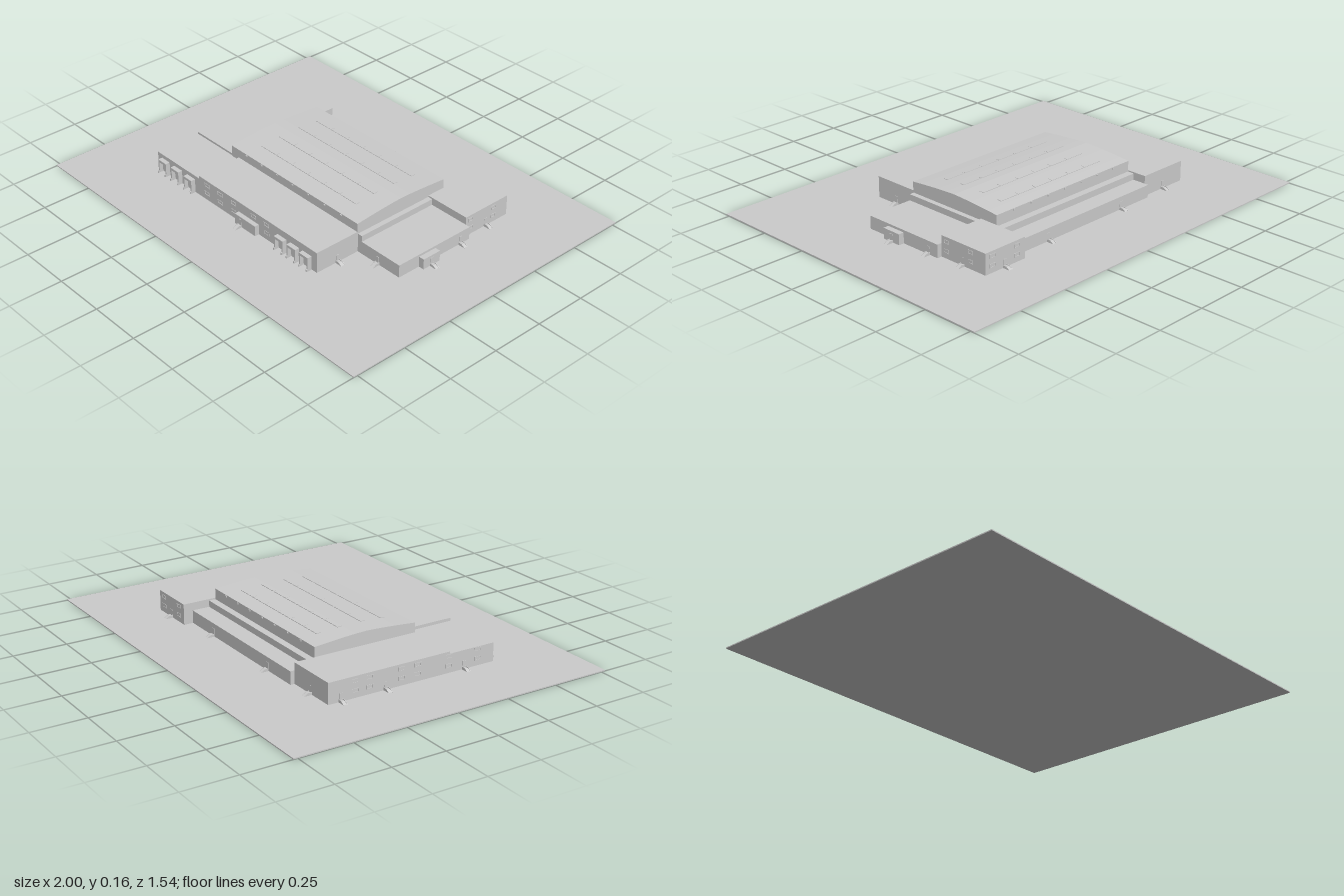
import * as THREE from 'three';

const GROUND = 0.005;

export function createModel() {
  const model = new THREE.Group();
  const mat = new THREE.MeshStandardMaterial({ color: 0xcccccc, flatShading: true });

  const add = (name, geometry, parent = model) => {
    const mesh = new THREE.Mesh(geometry, mat);
    mesh.name = name;
    parent.add(mesh);
    return mesh;
  };

  // Box given by its limits on each axis
  const block = (name, x0, x1, y0, y1, z0, z1, parent) => {
    const mesh = add(name, new THREE.BoxGeometry(x1 - x0, y1 - y0, z1 - z0), parent);
    mesh.position.set((x0 + x1) / 2, (y0 + y1) / 2, (z0 + z1) / 2);
    return mesh;
  };

  // Side profile (z, y) swept along x
  const sweepX = (name, points, x0, x1, parent) => {
    const shape = new THREE.Shape(points.map(([z, y]) => new THREE.Vector2(-z, y)));
    const geo = new THREE.ExtrudeGeometry(shape, { depth: x1 - x0, bevelEnabled: false });
    geo.rotateY(Math.PI / 2);
    geo.translate(x0, 0, 0);
    return add(name, geo, parent);
  };

  // Group standing on a wall, its local +z pointing outward
  const turns = { south: 0, east: Math.PI / 2, north: Math.PI, west: -Math.PI / 2 };
  const onWall = (name, side, x, z) => {
    const g = new THREE.Group();
    g.name = name;
    g.position.set(x, 0, z);
    g.rotation.y = turns[side];
    model.add(g);
    return g;
  };

  block('ground', -1, 1, 0, GROUND, -0.77, 0.77);

  // Flat-roofed wings around the hall
  const wings = [
    ['frontWing', -0.37, 0.413, 0.105, 0.205, 0.435],
    ['frontCornerWing', -0.67, -0.37, 0.091, 0.205, 0.435],
    ['sideWing', -0.67, -0.417, 0.101, -0.4, 0.205],
    ['backAnnex', -0.417, 0.413, 0.065, -0.42, -0.335],
    ['backCorridor', -0.417, 0.413, 0.095, -0.335, -0.3],
    ['backCornerWing', 0.413, 0.64, 0.102, -0.465, -0.21],
    ['sideCorridor', 0.413, 0.437, 0.095, -0.21, 0.205],
    ['sideAnnex', 0.437, 0.663, 0.066, -0.21, 0.205],
    ['sidePorch', 0.663, 0.69, 0.055, -0.005, 0.09],
    ['entrancePorch', -0.095, 0.04, 0.055, 0.435, 0.457],
  ];
  for (const [name, x0, x1, top, z0, z1] of wings) block(name, x0, x1, GROUND, top, z0, z1);

  // Main hall with a gently arched roof
  const roofY = (z) => 0.163 - 0.017 * Math.pow(Math.abs(z + 0.047) / 0.255, 1.4);
  const hall = [[0.208, GROUND]];
  for (let i = 0; i <= 10; i++) {
    const z = 0.208 - 0.051 * i;
    hall.push([z, roofY(z)]);
  }
  hall.push([-0.302, GROUND]);
  sweepX('mainHall', hall.reverse(), -0.417, 0.413);

  // Skylight strips, divided into panels
  for (const z of [-0.215, -0.11, 0.007, 0.11]) {
    const strip = new THREE.Group();
    strip.name = 'skylightStrip';
    strip.position.set(0, roofY(z), z);
    strip.rotation.x = (roofY(z - 0.01) - roofY(z + 0.01)) / 0.02;
    model.add(strip);
    for (let i = 0; i < 6; i++) {
      const x = -0.315 + i * 0.1045;
      block('skylight', x + 0.001, x + 0.1035, -0.003, 0.002, -0.011, 0.011, strip);
    }
  }

  // Small drains along both eaves of the hall
  for (const z of [-0.304, 0.21]) {
    for (let i = 0; i < 7; i++) {
      const x = -0.312 + i * 0.104;
      block('roofDrain', x - 0.004, x + 0.004, 0.137, 0.143, z - 0.003, z + 0.003);
    }
  }

  // Doors with a short ramp between two handrails
  const door = (side, x, z) => {
    const g = onWall('door', side, x, z);
    block('doorLeaf', -0.008, 0.008, 0.013, 0.043, -0.002, 0.002, g);
    sweepX('ramp', [[0, GROUND], [0.034, GROUND], [0.017, 0.014], [0, 0.014]], -0.009, 0.009, g);
    for (const s of [-1, 1]) {
      sweepX('rampEdge', [[0, GROUND], [0.036, GROUND], [0.018, 0.017], [0, 0.017]],
        s * 0.009 - 0.0015, s * 0.009 + 0.0015, g);
    }
  };
  for (const z of [-0.34, -0.12, 0.28]) door('west', -0.67, z);
  door('north', -0.54, -0.4);
  door('north', -0.235, -0.42);
  door('north', 0.225, -0.42);
  door('north', 0.53, -0.465);
  door('east', 0.64, -0.335);
  door('east', 0.663, -0.155);
  door('east', 0.69, 0.042);
  door('east', 0.413, 0.32);
  door('south', 0.535, 0.205);
  door('south', -0.06, 0.457);

  // Loading docks: a projecting frame round a shutter
  for (const x of [-0.613, -0.522, -0.428, 0.193, 0.274, 0.353]) {
    const g = onWall('loadingDock', 'south', x, 0.435);
    const w = 0.028;
    const frame = new THREE.Shape([
      [-w, 0.014], [-w, 0.072], [w, 0.072], [w, 0.014],
      [w - 0.007, 0.014], [w - 0.007, 0.06], [-w + 0.007, 0.06], [-w + 0.007, 0.014],
    ].map(([px, py]) => new THREE.Vector2(px, py)));
    add('dockFrame', new THREE.ExtrudeGeometry(frame, { depth: 0.022, bevelEnabled: false }), g);
    block('shutter', -0.021, 0.021, 0.014, 0.06, 0, 0.003, g);
    for (const s of [-1, 1]) {
      block('bumper', s * 0.025 - 0.003, s * 0.025 + 0.003, GROUND, 0.016, 0.0, 0.028, g);
    }
  }

  // Two rows of windows, each a frame with a pane set inside
  const windowRows = (side, x, z, offsets, width = 0.034) => {
    for (const o of offsets) {
      const g = onWall('windows', side, x, z);
      for (const y of [0.038, 0.08]) {
        const w = width / 2;
        const rim = new THREE.Shape([
          [-w, -0.009], [w, -0.009], [w, 0.009], [-w, 0.009],
        ].map(([px, py]) => new THREE.Vector2(px, py)));
        rim.holes.push(new THREE.Path([
          [-w + 0.003, -0.006], [-w + 0.003, 0.006], [w - 0.003, 0.006], [w - 0.003, -0.006],
        ].map(([px, py]) => new THREE.Vector2(px, py))));
        const mesh = add('windowFrame', new THREE.ExtrudeGeometry(rim, { depth: 0.002, bevelEnabled: false }), g);
        mesh.position.set(o, y, 0);
      }
    }
  };
  windowRows('south', 0, 0.435, [-0.313, -0.222, -0.13, 0.005, 0.092]);
  windowRows('east', 0.64, 0, [0.24, 0.38], 0.028);
  windowRows('north', 0.53, -0.465, [-0.07, 0.07]);
  windowRows('west', -0.67, 0, [-0.27, -0.2, -0.04, 0.04, 0.2, 0.35]);

  return model;
}
